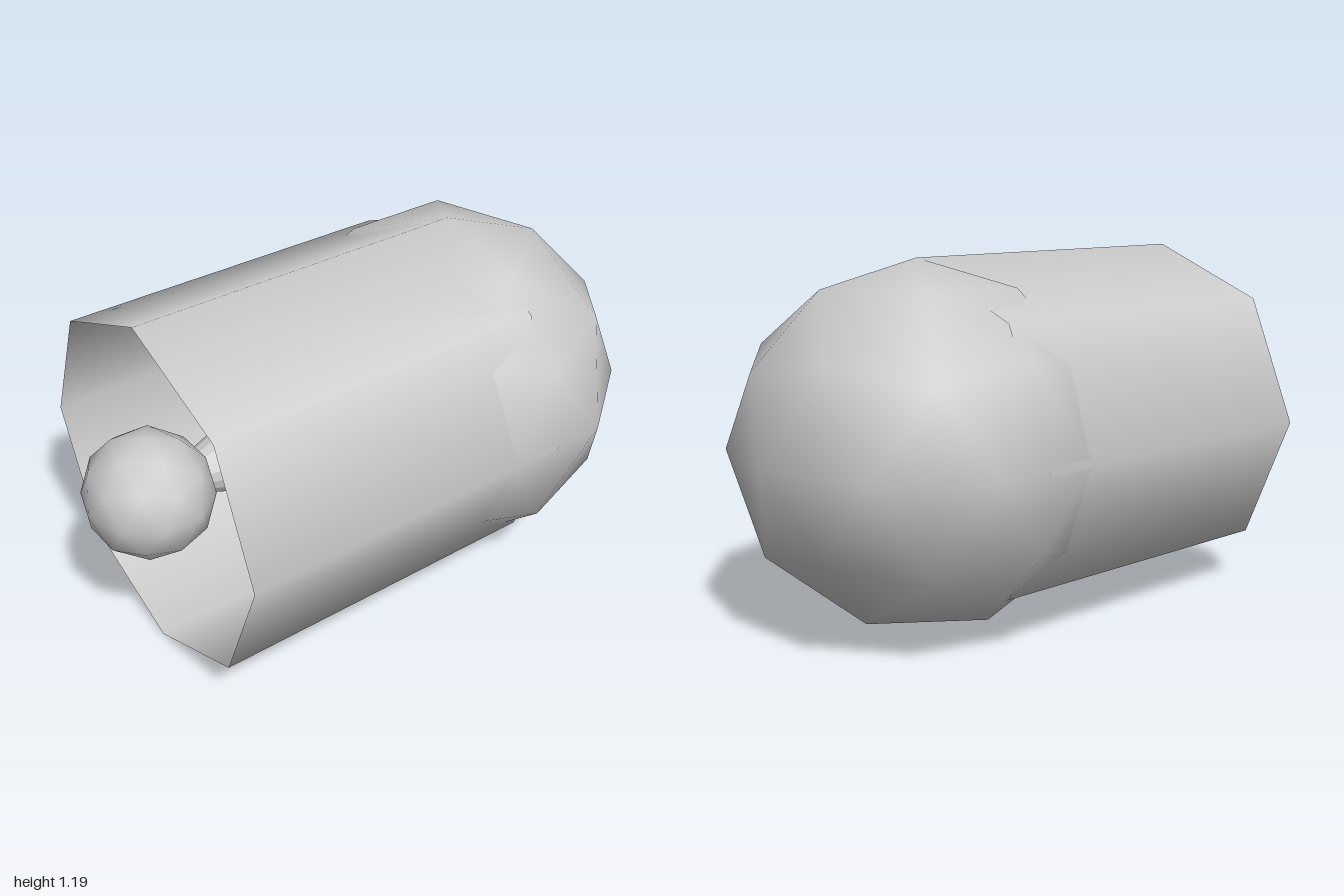
import * as THREE from 'three';

const AXIS_Y = 0.597;

// Low-resolution smooth ball with a corner at its top, slightly flattened
function makeBall(name, size, z, material) {
  const geometry = new THREE.IcosahedronGeometry(1, 1);
  geometry.rotateZ(-Math.atan(2 / (1 + Math.sqrt(5))));
  geometry.scale(0.624 * size, 0.597 * size, 0.6 * size);
  const mesh = new THREE.Mesh(geometry, material);
  mesh.name = name;
  mesh.position.set(0, AXIS_Y, z);
  return mesh;
}

export function createModel() {
  const model = new THREE.Group();
  model.name = 'model';
  const smooth = new THREE.MeshStandardMaterial({ color: 0xcccccc });
  const thin = new THREE.MeshStandardMaterial({ color: 0xcccccc, side: THREE.DoubleSide });
  const faceted = new THREE.MeshStandardMaterial({ color: 0xcccccc, flatShading: true });

  // Open eight-sided sleeve lying along z
  const sleeve = new THREE.Mesh(
    new THREE.CylinderGeometry(0.597, 0.597, 1.19, 8, 1, true).rotateX(Math.PI / 2), thin);
  sleeve.name = 'sleeve';
  sleeve.position.set(0, AXIS_Y, 0.195);
  model.add(sleeve);

  // Large rounded end at the back and small ball at the front
  model.add(makeBall('rearDome', 1, -0.4, smooth));
  model.add(makeBall('frontBall', 0.35, 0.79, smooth));

  // Cone joining the dome to the ball inside the sleeve
  const cone = new THREE.Mesh(
    new THREE.ConeGeometry(0.222, 0.68, 16).rotateX(Math.PI / 2), faceted);
  cone.name = 'innerCone';
  cone.position.set(0, AXIS_Y, 0.49);
  model.add(cone);

  return model;
}
